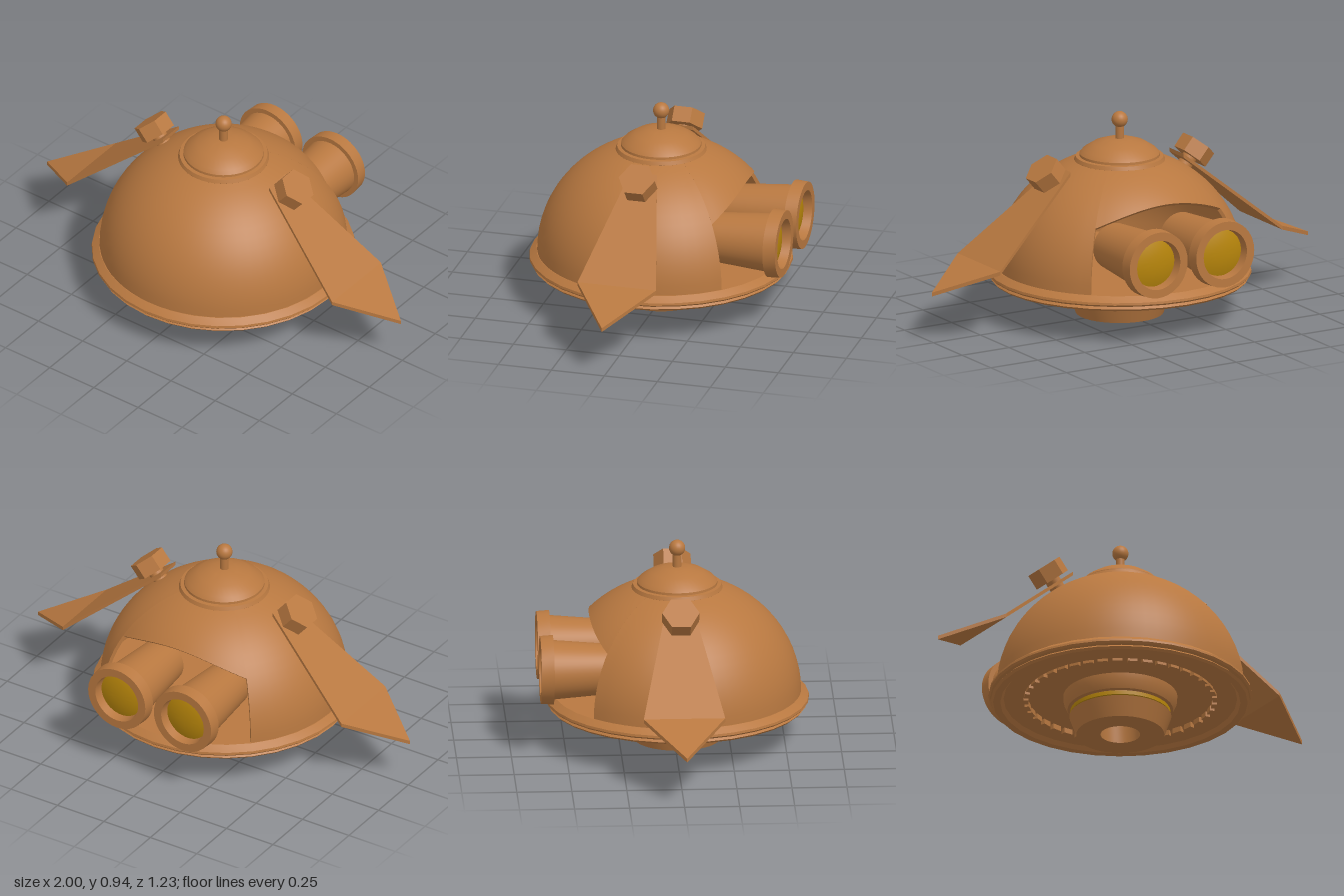
import * as THREE from 'three';
import { toCreasedNormals } from 'three/addons/utils/BufferGeometryUtils.js';
import { ConvexGeometry } from 'three/addons/geometries/ConvexGeometry.js';

const copper = new THREE.MeshStandardMaterial({ color: 0xb87840, side: THREE.DoubleSide });
const gold = new THREE.MeshStandardMaterial({ color: 0xb8860b, side: THREE.DoubleSide });

function add(parent, name, geometry, material = copper) {
  const mesh = new THREE.Mesh(geometry, material);
  mesh.name = name;
  parent.add(mesh);
  return mesh;
}

// Turned part from [radius, height] pairs
function lathe(points, segments = 40) {
  const geo = new THREE.LatheGeometry(points.map(([r, y]) => new THREE.Vector2(r, y)), segments);
  return toCreasedNormals(geo, 0.5);
}

// Shell sector of the dome between two azimuths (0 = back), with a lower edge given by a rule
const DOME_Y = 0.225, DOME_R = 0.563, DOME_H = 0.53, WALL = 0.016;
function domeSector(a0, a1, steps, lowerY) {
  const N = 14, M = 2 * (N + 1), pos = [], idx = [];
  for (let j = 0; j <= steps; j++) {
    const a = a0 + (a1 - a0) * j / steps;
    const p0 = Math.asin((lowerY(a) - DOME_Y) / DOME_H), p1 = 1.21;
    for (let k = 0; k < M; k++) {
      const outer = k <= N, i = outer ? k : M - 1 - k;
      const p = p0 + (p1 - p0) * i / N, t = outer ? 0 : WALL;
      const r = (DOME_R - t) * Math.cos(p), y = DOME_Y + (DOME_H - t) * Math.sin(p);
      pos.push(r * Math.sin(a), y, -r * Math.cos(a));
    }
  }
  for (let j = 0; j < steps; j++) for (let k = 0; k < M; k++) {
    const k2 = (k + 1) % M, A = j * M, B = A + M;
    idx.push(A + k, A + k2, B + k, A + k2, B + k2, B + k);
  }
  // Close the two cut ends
  for (let i = 0; i < N; i++) {
    const e = steps * M, c = [i, M - 1 - i, M - 2 - i, i + 1];
    idx.push(c[0], c[1], c[2], c[0], c[2], c[3]);
    idx.push(e + c[0], e + c[2], e + c[1], e + c[0], e + c[3], e + c[2]);
  }
  const geo = new THREE.BufferGeometry();
  geo.setAttribute('position', new THREE.Float32BufferAttribute(pos, 3));
  geo.setIndex(idx);
  return toCreasedNormals(geo, 0.6);
}

function buildBody() {
  const body = new THREE.Group();
  body.name = 'body';
  body.position.z = 0.015;

  // Dome with an opening in the back quarter
  const q = Math.PI / 4;
  add(body, 'domeShell', domeSector(q, 7 * q, 48, () => DOME_Y));
  add(body, 'domeBackPanel', domeSector(-q, q, 20, a => 0.515 + 0.082 * (1 - (a / q) ** 2)));

  // Double rim with floor and recessed underside
  add(body, 'rim', lathe([
    [0.2, 0.19], [0.43, 0.19], [0.44, 0.178], [0.53, 0.178], [0.545, 0.16], [0.578, 0.16],
    [0.588, 0.17], [0.578, 0.18], [0.592, 0.184], [0.6, 0.192], [0.598, 0.203],
    [0.567, 0.227], [0, 0.227]], 32));

  // Ring of small teeth under the rim
  const teeth = new THREE.Group();
  teeth.name = 'undersideTeeth';
  body.add(teeth);
  for (let i = 0; i < 40; i++) {
    const a = i / 40 * Math.PI * 2;
    const tooth = add(teeth, 'tooth', new THREE.BoxGeometry(0.045, 0.025, 0.022));
    tooth.position.set(0.428 * Math.sin(a), 0.178, 0.428 * Math.cos(a));
    tooth.rotation.y = a;
  }

  // Foot with a bored hole and a gold band
  add(body, 'foot', lathe([
    [0, 0.09], [0.09, 0.09], [0.09, 0], [0.2, 0], [0.232, 0.09], [0.222, 0.094],
    [0.222, 0.119], [0.24, 0.122], [0.257, 0.16], [0.26, 0.2]]));
  add(body, 'footBand', lathe([[0.22, 0.094], [0.228, 0.097], [0.228, 0.115], [0.22, 0.119]]), gold);

  // Stepped cap, stem and ball
  add(body, 'cap', lathe([
    [0.2, 0.7], [0.207, 0.718], [0.2, 0.735], [0.183, 0.737], [0.182, 0.748], [0.167, 0.765],
    [0.12, 0.795], [0.06, 0.815], [0, 0.818]]));
  add(body, 'stem', new THREE.CylinderGeometry(0.02, 0.02, 0.08, 16)).position.y = 0.85;
  add(body, 'ball', new THREE.SphereGeometry(0.037, 24, 16)).position.y = 0.905;
  return body;
}

// Flared barrel with a collar and recessed lens, pointing back
function buildBarrel(side) {
  const barrel = new THREE.Group();
  barrel.name = side > 0 ? 'leftBarrel' : 'rightBarrel';
  barrel.position.set(side * 0.177, 0.39, 0);
  barrel.rotation.x = -Math.PI / 2;
  add(barrel, 'barrelTube', lathe([
    [0, 0.22], [0.107, 0.22], [0.135, 0.557], [0.158, 0.557], [0.154, 0.615],
    [0.115, 0.615], [0.108, 0.57]]));
  add(barrel, 'lens', lathe([[0.112, 0.572], [0.08, 0.583], [0.04, 0.589], [0, 0.591]]), gold);
  return barrel;
}

// Bent pointed wing clamped by a hexagonal nut
function buildWing(side) {
  const wing = new THREE.Group();
  wing.name = side > 0 ? 'leftWing' : 'rightWing';
  wing.position.z = 0.012;
  const panel = sections => new ConvexGeometry(sections.flatMap(([x, y, w]) =>
    [-0.009, 0.009].flatMap(t => [-w, w].map(z => new THREE.Vector3(side * x, y + t, z)))));
  add(wing, 'wingInnerPanel', panel([[0.3, 0.705, 0.062], [0.75, 0.33, 0.185]]));
  add(wing, 'wingTipPanel', panel([[0.75, 0.33, 0.185], [1, 0.224, 0.001]]));

  const tilt = -side * 0.695;
  const nutGeo = new THREE.CylinderGeometry(0.085, 0.085, 0.073, 6).toNonIndexed();
  nutGeo.computeVertexNormals();
  const nut = add(wing, 'clampNut', nutGeo);
  nut.position.set(side * 0.395, 0.705, 0);
  nut.rotation.z = tilt;
  const post = add(wing, 'clampPost', new THREE.CylinderGeometry(0.035, 0.035, 0.11, 20));
  post.position.set(side * 0.35, 0.651, 0);
  post.rotation.z = tilt;
  return wing;
}

export function createModel() {
  const model = new THREE.Group();
  model.name = 'domedCraft';
  model.add(buildBody());
  for (const side of [-1, 1]) model.add(buildBarrel(side), buildWing(side));
  return model;
}
